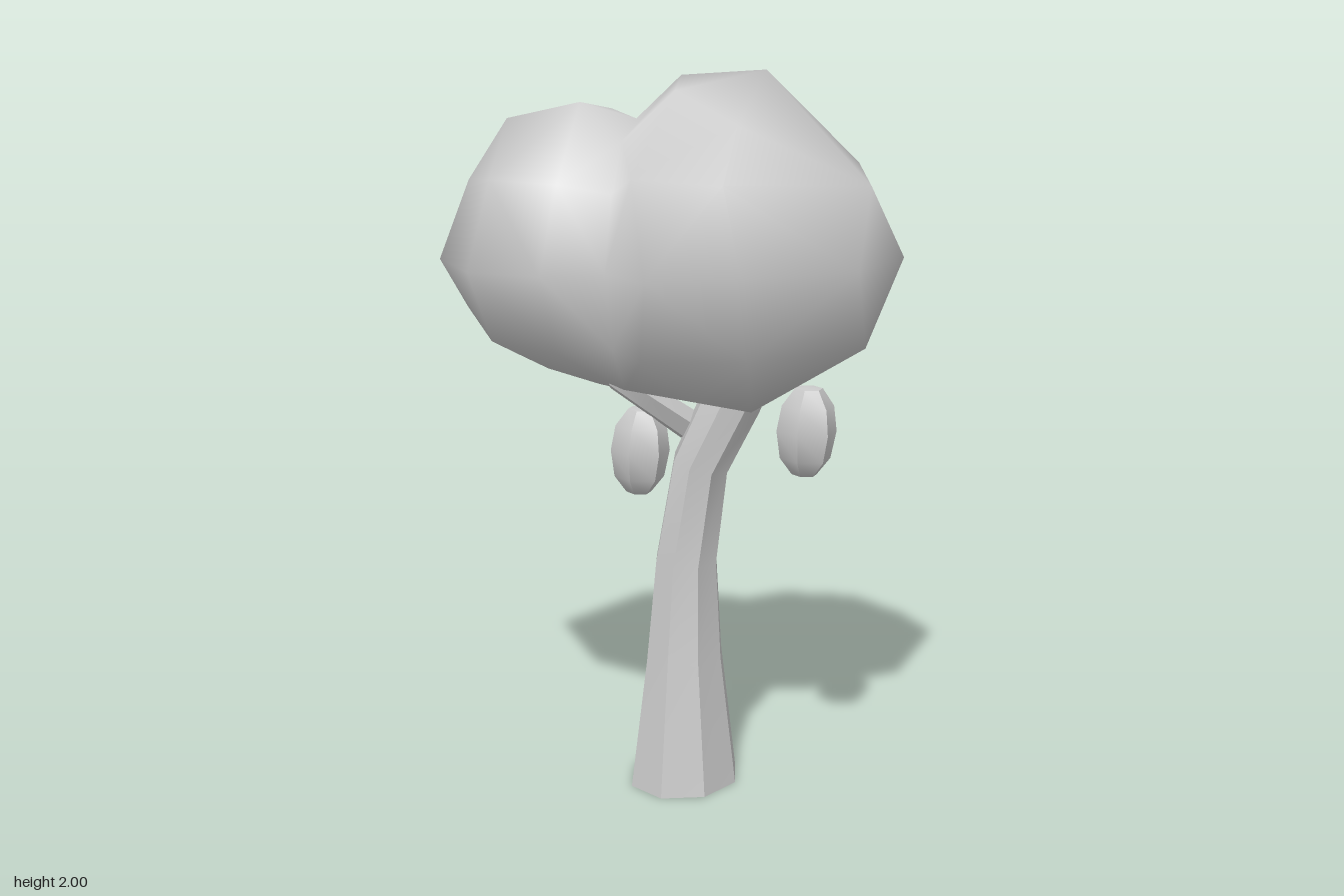
import * as THREE from 'three';
import { mergeGeometries, mergeVertices, toCreasedNormals } from 'three/addons/utils/BufferGeometryUtils.js';
import { ConvexGeometry } from 'three/addons/geometries/ConvexGeometry.js';

const material = new THREE.MeshStandardMaterial({ color: 0xcccccc, side: THREE.DoubleSide });

function addMesh(group, name, geometry) {
  const mesh = new THREE.Mesh(geometry, material);
  mesh.name = name;
  group.add(mesh);
  return mesh;
}

// Open wooden tube through rings [x, y, z, radius across, radius in z, tilt about z]
function wood(rings, sides) {
  const pos = [], index = [];
  rings.forEach(([x, y, z, rx, rz, tilt], r) => {
    for (let i = 0; i < sides; i++) {
      const a = (i / sides) * Math.PI * 2, u = Math.cos(a) * rx;
      pos.push(x + u * Math.cos(tilt), y + u * Math.sin(tilt), z + Math.sin(a) * rz);
      if (r === 0) continue;
      const n = (i + 1) % sides, lo = (r - 1) * sides, hi = r * sides;
      index.push(lo + i, hi + i, lo + n, lo + n, hi + i, hi + n);
    }
  });
  const g = new THREE.BufferGeometry();
  g.setAttribute('position', new THREE.Float32BufferAttribute(pos, 3));
  g.setIndex(index);
  return toCreasedNormals(g, 0.6);
}

// Slanted plane where the two leaf lobes meet, and the ring of points [y, z] on it
const seamX = (z) => -0.055 + 0.1 * z;
const seam = [
  [1.87, 0.05], [1.82, 0.19], [1.69, 0.29], [1.49, 0.35], [1.28, 0.28], [1.15, 0.17],
  [1.14, 0.02], [1.28, -0.19], [1.49, -0.245], [1.7, -0.2], [1.83, -0.08],
].map(([y, z]) => [seamX(z), y, z]);

// Convex lobe left open at the seam
function lobe(points) {
  const hull = new ConvexGeometry([...points, ...seam].map((p) => new THREE.Vector3(...p)));
  const p = hull.attributes.position, kept = [];
  for (let i = 0; i < p.count; i += 3) {
    const corners = [i, i + 1, i + 2];
    if (corners.every((k) => Math.abs(p.getX(k) - seamX(p.getZ(k))) < 1e-4)) continue;
    corners.forEach((k) => kept.push(p.getX(k), p.getY(k), p.getZ(k)));
  }
  const g = new THREE.BufferGeometry();
  g.setAttribute('position', new THREE.Float32BufferAttribute(kept, 3));
  return g;
}

export function createModel() {
  const tree = new THREE.Group();
  tree.name = 'tree';

  // Curved, tapering trunk, open at the base
  addMesh(tree, 'trunk', wood([
    [0.083, 0, 0.025, 0.155, 0.185, 0],
    [0.083, 0.37, 0.025, 0.108, 0.135, 0],
    [0.088, 0.65, 0.025, 0.088, 0.105, -0.05],
    [0.13, 0.93, 0.025, 0.08, 0.092, -0.3],
    [0.22, 1.12, 0.022, 0.085, 0.085, -0.45],
    [0.25, 1.18, 0.02, 0.08, 0.08, -0.45],
  ], 8));

  // Side branch
  addMesh(tree, 'branch', wood([
    [0.1, 1.02, 0.0, 0.047, 0.045, 0.85],
    [0.02, 1.1, 0.08, 0.043, 0.043, 0.8],
    [-0.06, 1.18, 0.16, 0.038, 0.038, 0.9],
    [-0.09, 1.23, 0.18, 0.034, 0.034, 0.8],
  ], 6));

  // Large leaf lobe
  const large = lobe([
    [0.28, 2.0, -0.06], [0.06, 1.985, 0.0], [0.09, 1.95, 0.13], [0.29, 1.87, 0.2],
    [0.6, 1.71, 0.03], [0.28, 1.7, -0.37], [0.3, 1.73, 0.34], [0.06, 1.74, 0.36],
    [0.03, 1.74, -0.29], [0.5, 1.75, -0.2],
    [0.28, 1.49, -0.45], [0.62, 1.49, -0.25], [0.6, 1.5, 0.13], [0.36, 1.5, 0.37],
    [0.13, 1.49, 0.45], [0.04, 1.5, -0.34],
    [0.59, 1.28, 0.02], [0.5, 1.3, -0.22], [0.3, 1.31, -0.34], [0.35, 1.27, 0.28],
    [0.07, 1.26, 0.33], [0.02, 1.3, -0.25],
    [0.3, 1.1, 0.1], [0.18, 1.14, 0.21], [0.05, 1.13, 0.05], [0.28, 1.18, -0.16],
  ]);

  // Small leaf lobe
  const small = lobe([
    [-0.15, 1.92, 0.2], [-0.41, 1.865, 0.1], [-0.3, 1.86, -0.06], [-0.15, 1.89, -0.02],
    [-0.5, 1.7, 0.16], [-0.46, 1.7, -0.12], [-0.27, 1.7, -0.2],
    [-0.36, 1.72, 0.32], [-0.14, 1.72, 0.38],
    [-0.62, 1.47, 0.11], [-0.49, 1.49, -0.22], [-0.27, 1.5, -0.275],
    [-0.4, 1.48, 0.38], [-0.16, 1.49, 0.45],
    [-0.56, 1.33, 0.06], [-0.42, 1.3, -0.14], [-0.2, 1.29, -0.2], [-0.38, 1.28, 0.28],
    [-0.16, 1.27, 0.34],
    [-0.38, 1.21, 0.1], [-0.25, 1.2, 0.2], [-0.12, 1.16, 0.16], [-0.2, 1.2, -0.05],
  ]);

  // Both lobes joined into one smooth canopy
  const canopy = mergeVertices(mergeGeometries([large, small]), 1e-4);
  canopy.computeVertexNormals();
  addMesh(tree, 'canopy', canopy);

  // Hanging fruits
  const profile = [[0, -0.127], [0.035, -0.12], [0.07, -0.075], [0.083, 0], [0.072, 0.07], [0.038, 0.118], [0, 0.122]]
    .map(([r, y]) => new THREE.Vector2(r, y));
  const fruit = toCreasedNormals(new THREE.LatheGeometry(profile, 6), 0.8);
  [['leftFruit', 0.44, 1.05, 0.048], ['rightFruit', -0.04, 0.957, 0.052]].forEach(([name, x, y, z]) => {
    const mesh = addMesh(tree, name, fruit);
    mesh.position.set(x, y, z);
    mesh.rotation.z = -0.04;
  });

  return tree;
}
